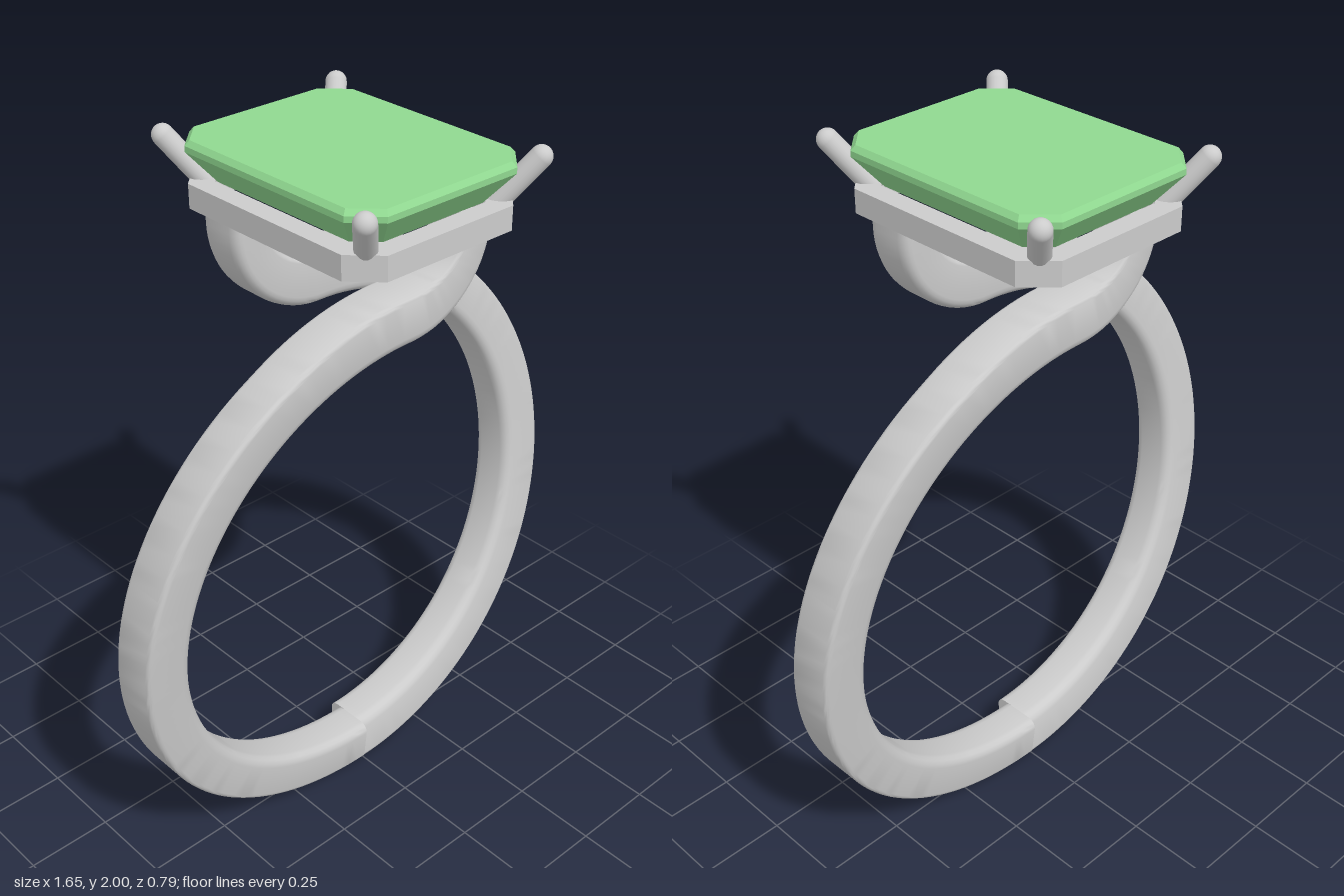
import * as THREE from 'three';
import { toCreasedNormals } from 'three/addons/utils/BufferGeometryUtils.js';
import { ConvexGeometry } from 'three/addons/geometries/ConvexGeometry.js';

const R_OUT = 0.823, R_IN = 0.685, HALF_W = 0.068, SPREAD = 0.167;

// Corners of a rectangle with clipped corners, counter-clockwise
function clippedRect(a, b, c) {
  return [[a, -b + c], [a, b - c], [a - c, b], [-a + c, b],
    [-a, b - c], [-a, -b + c], [-a + c, -b], [a - c, -b]];
}

// Band section: [u, w], u = 0 outside .. 1 inside, w = across the width.
// The finger side has the larger rounding.
function bandSection() {
  const t = R_OUT - R_IN, pts = [];
  const corners = [[0, -1, 0.014, 180], [t, -1, 0.03, 270], [t, 1, 0.03, 0], [0, 1, 0.014, 90]];
  for (const [u, w, r, start] of corners) {
    const cu = u === 0 ? r : u - r, cw = w * (HALF_W - r);
    for (let k = 0; k <= 4; k++) {
      const a = THREE.MathUtils.degToRad(start + k * 22.5);
      pts.push([(cu + r * Math.cos(a)) / t, cw + r * Math.sin(a)]);
    }
  }
  return pts;
}

// Pairs of outside / inside edge points: round the finger, then curling up to the head
function armRails() {
  const rails = [];
  for (let i = 0; i <= 80; i++) {
    const a = -Math.PI / 2 - Math.PI * i / 80, c = Math.cos(a), s = Math.sin(a);
    rails.push([[R_OUT * c, R_OUT + R_OUT * s], [R_IN * c, R_OUT + R_IN * s]]);
  }
  for (let i = 1; i <= 20; i++) {
    const a = Math.PI / 2 * i / 20, s = Math.sin(a), c = Math.cos(a);
    rails.push([[0.18 * s, 1.78 - 0.134 * c], [0.283 * s, 1.78 - 0.272 * c]]);
  }
  rails.push([[0.18, 1.81], [0.283, 1.81]]);
  return rails;
}

function armGeometry() {
  const section = bandSection(), rails = armRails(), n = section.length;
  const pos = [], index = [];
  for (const [o, p] of rails) {
    for (const [u, w] of section) {
      const x = o[0] + (p[0] - o[0]) * u, y = o[1] + (p[1] - o[1]) * u;
      // the arm leans away from the centre plane as it rises
      pos.push(x, y, w + SPREAD * Math.min(1, y / 1.53));
    }
  }
  for (let i = 0; i < rails.length - 1; i++) {
    for (let j = 0; j < n; j++) {
      const a = i * n + j, b = i * n + (j + 1) % n;
      index.push(a, a + n, b, b, a + n, b + n);
    }
  }
  const last = (rails.length - 1) * n;
  for (let j = 1; j < n - 1; j++) {
    index.push(0, j, j + 1, last, last + j + 1, last + j);
  }
  const g = new THREE.BufferGeometry();
  g.setAttribute('position', new THREE.Float32BufferAttribute(pos, 3));
  g.setIndex(index);
  return toCreasedNormals(g, 0.6);
}

export function createModel() {
  const ring = new THREE.Group();
  ring.name = 'ring';
  const metal = new THREE.MeshStandardMaterial({ color: 0xcccccc });
  const green = new THREE.MeshStandardMaterial({ color: 0x90d890, flatShading: true });
  const add = (name, geometry, material = metal) => {
    const mesh = new THREE.Mesh(geometry, material);
    mesh.name = name;
    ring.add(mesh);
    return mesh;
  };

  // Two identical arms, half a turn apart, passing each other under the head
  const arm = armGeometry();
  add('frontArm', arm);
  add('backArm', arm).rotation.y = Math.PI;

  // Open frame that carries the stone
  const toVec = ([x, y]) => new THREE.Vector2(x, y);
  const frame = new THREE.Shape(clippedRect(0.284, 0.356, 0.075).map(toVec));
  frame.holes.push(new THREE.Path(clippedRect(0.225, 0.297, 0.05).map(toVec).reverse()));
  const frameGeo = new THREE.ExtrudeGeometry(frame, { depth: 0.066, bevelEnabled: false });
  frameGeo.rotateX(-Math.PI / 2).translate(0, 1.8, 0);
  add('settingFrame', frameGeo);

  // Step-cut stone: table, girdle, lower step and a short keel
  const tiers = [[0.272, 0.347, 0.066, 1.976], [0.283, 0.358, 0.07, 1.962],
    [0.283, 0.358, 0.07, 1.946], [0.222, 0.295, 0.055, 1.866]];
  const points = tiers.flatMap(([a, b, c, y]) =>
    clippedRect(a, b, c).map(([x, z]) => new THREE.Vector3(x, y, z)));
  points.push(new THREE.Vector3(0, 1.77, 0.08), new THREE.Vector3(0, 1.77, -0.08));
  add('stone', new ConvexGeometry(points), green);

  // Round-tipped prongs leaning out at the corners
  const up = new THREE.Vector3(0, 1, 0);
  for (const sx of [-1, 1]) {
    for (const sz of [-1, 1]) {
      const foot = new THREE.Vector3(sx * 0.213, 1.845, sz * 0.288);
      const tip = new THREE.Vector3(sx * 0.29, 1.971, sz * 0.365);
      const dir = tip.clone().sub(foot);
      const prong = add(`${sz > 0 ? 'front' : 'back'}${sx > 0 ? 'Left' : 'Right'}Prong`,
        new THREE.CapsuleGeometry(0.029, dir.length(), 8, 20));
      prong.position.copy(foot).add(tip).multiplyScalar(0.5);
      prong.quaternion.setFromUnitVectors(up, dir.normalize());
    }
  }
  return ring;
}
